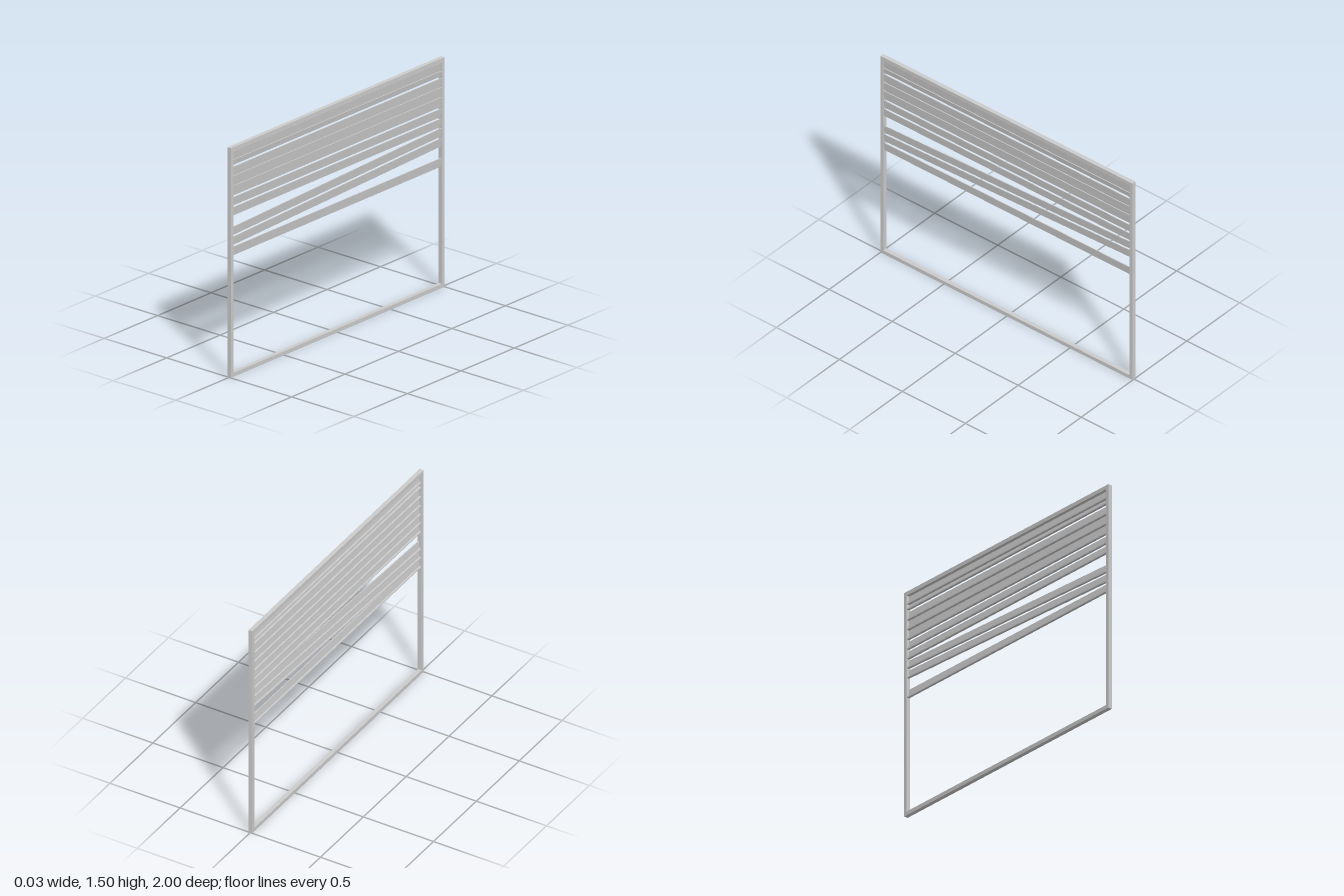
import * as THREE from 'three';

export function createModel() {
  const model = new THREE.Group();
  const material = new THREE.MeshStandardMaterial({ color: 0xcccccc, flatShading: true });
  const add = (name, geometry, x, y, z) => {
    const mesh = new THREE.Mesh(geometry, material);
    mesh.name = name;
    mesh.position.set(x, y, z);
    model.add(mesh);
    return mesh;
  };

  // Rectangular frame
  const depth = 0.028, post = 0.024, rail = 0.026;
  for (const s of [1, -1]) {
    add(s > 0 ? 'frontPost' : 'backPost', new THREE.BoxGeometry(depth, 1.5, post), 0, 0.75, s * (1 - post / 2));
  }
  add('bottomRail', new THREE.BoxGeometry(depth, rail, 2 - 2 * post), 0, rail / 2, 0);
  add('topRail', new THREE.BoxGeometry(depth, rail, 2 - 2 * post), 0, 1.5 - rail / 2, 0);

  // Slat: leaning web with a ledge along its lower edge, extruded along z
  const length = 1.952;
  const slat = (name, y, height = 0.056, tilt = 0) => {
    const shape = new THREE.Shape([
      [-0.011, 0], [0.006, 0], [0.012, height], [0.006, height], [0.001, 0.007], [-0.011, 0.007],
    ].map(([x, h]) => new THREE.Vector2(x, h)));
    const geometry = new THREE.ExtrudeGeometry(shape, { depth: length, bevelEnabled: false });
    geometry.translate(0, 0, -length / 2);
    add(name, geometry, 0, y, 0).rotation.x = tilt;
  };

  // Closed upper part: [bottom, height]
  [[1.05], [1.115], [1.18, 0.065], [1.245, 0.065], [1.31, 0.06], [1.38, 0.036], [1.416]]
    .forEach(([y, h], i) => slat(`upperSlat${i + 1}`, y, h));

  // Two slipped slats and the bottom slat
  const slip = Math.atan(0.065 / length);
  slat('slippedSlatUpper', 0.955, 0.056, slip);
  slat('slippedSlatLower', 0.89, 0.056, slip);
  slat('bottomSlat', 0.79, 0.058);

  return model;
}
